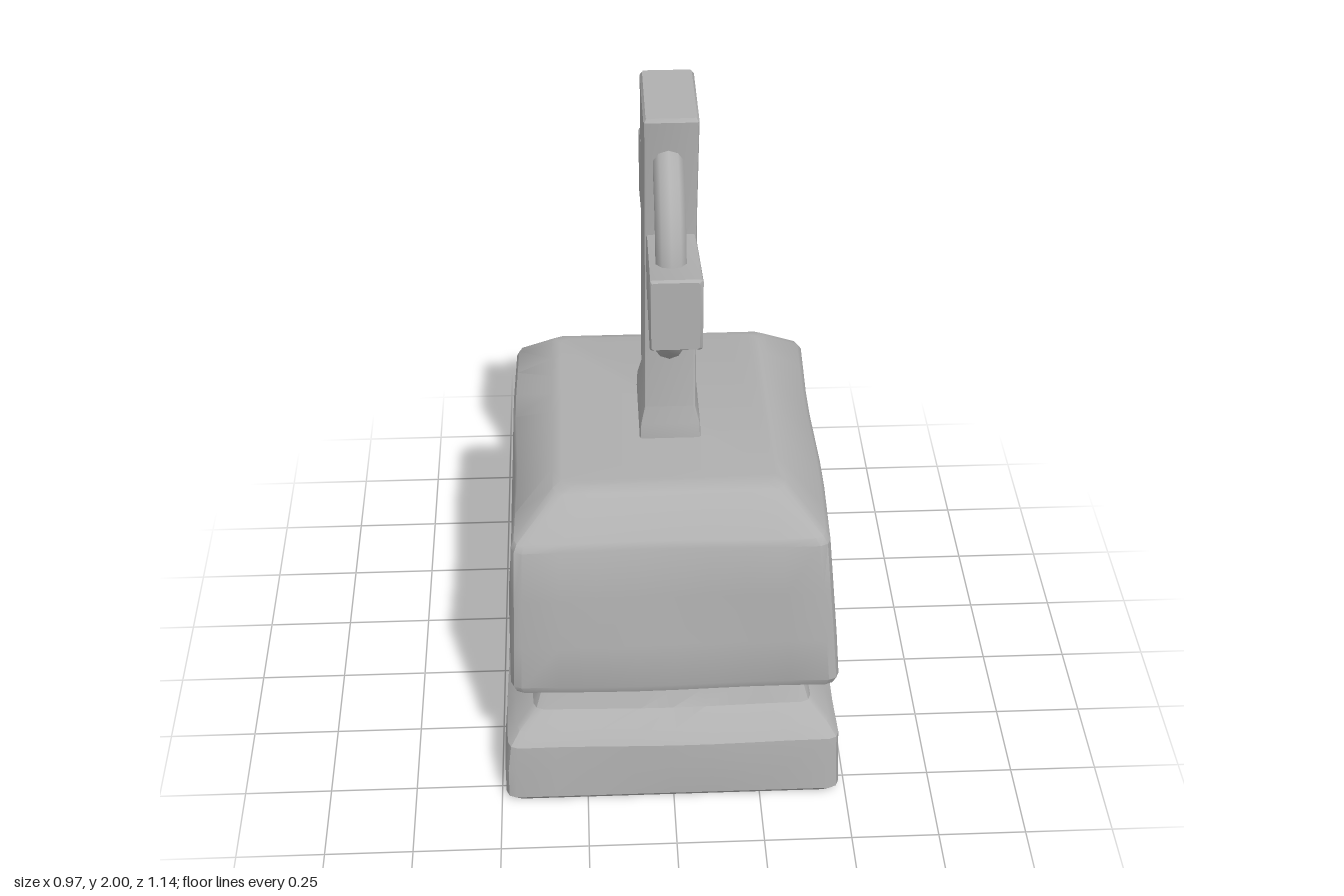
import * as THREE from 'three';
import { toCreasedNormals } from 'three/addons/utils/BufferGeometryUtils.js';

const stone = new THREE.MeshStandardMaterial({ color: 0xb0b0b0 });
stone.name = 'grey stone';

// Outline of a rectangle with clipped round corners, each side split into n steps
function outline([y, x0, x1, z0, z1, r], n) {
  const corners = [
    [x1 - r, z1 - r, 0], [x0 + r, z1 - r, 1], [x0 + r, z0 + r, 2], [x1 - r, z0 + r, 3],
  ];
  const arcs = corners.map(([cx, cz, q]) => [0, 1, 2].map((i) => {
    const a = (q + i / 2) * Math.PI / 2;
    return new THREE.Vector3(cx + r * Math.cos(a), y, cz + r * Math.sin(a));
  }));
  const pts = [];
  arcs.forEach((arc, q) => {
    pts.push(...arc);
    for (let i = 1; i < n; i++) pts.push(arc[2].clone().lerp(arcs[(q + 1) % 4][0], i / n));
  });
  return pts;
}

// Skin a stack of outlines (bottom to top) and cap both ends
function loft(rings, n = 1, warp = null) {
  const rows = rings.map((ring) => outline(ring, n));
  const count = rows[0].length;
  const pos = rows.flat();
  if (warp) pos.forEach(warp);
  const index = [];
  for (let j = 0; j < rows.length - 1; j++) {
    for (let i = 0; i < count; i++) {
      const a = j * count + i, b = j * count + (i + 1) % count;
      index.push(a, a + count, b, b, a + count, b + count);
    }
  }
  const top = (rows.length - 1) * count;
  for (let i = 1; i < count - 1; i++) {
    index.push(0, i, i + 1, top, top + i + 1, top + i);
  }
  const geo = new THREE.BufferGeometry().setFromPoints(pos);
  geo.setIndex(index);
  return toCreasedNormals(geo, 0.5);
}

function part(name, geometry) {
  const mesh = new THREE.Mesh(geometry, stone);
  mesh.name = name;
  return mesh;
}

// Weathering: a soft bulge on the back of the block plus slight waviness
function weather(p) {
  if (p.z < -0.4 && p.y > 0.38) {
    const across = Math.max(0, 1 - Math.abs(p.x + 0.07) / 0.4);
    const up = Math.max(0, 1 - Math.abs(p.y - 0.56) / 0.34);
    p.z -= 0.05 * across * up;
  }
  if (p.y > 0.05 && p.y < 0.95) {
    p.x += 0.004 * Math.sin(p.z * 9 + p.y * 7);
    p.z += 0.004 * Math.sin(p.x * 8 + p.y * 6);
  }
}

export function createModel() {
  const model = new THREE.Group();
  model.name = 'stone monument';

  // Pedestal: foot slab, waisted groove, tapering block and bevelled top
  model.add(part('pedestal', loft([
    [0.0, -0.47, 0.465, -0.555, 0.555, 0.03],
    [0.02, -0.487, 0.482, -0.568, 0.57, 0.03],
    [0.12, -0.484, 0.48, -0.56, 0.569, 0.03],
    [0.205, -0.476, 0.476, -0.55, 0.563, 0.03],
    [0.24, -0.45, 0.45, -0.525, 0.535, 0.03],
    [0.28, -0.4, 0.4, -0.475, 0.485, 0.03],
    [0.33, -0.385, 0.385, -0.455, 0.465, 0.03],
    [0.36, -0.4, 0.4, -0.475, 0.485, 0.03],
    [0.393, -0.455, 0.455, -0.525, 0.535, 0.03],
    [0.42, -0.463, 0.464, -0.53, 0.545, 0.03],
    [0.56, -0.456, 0.454, -0.515, 0.535, 0.03],
    [0.72, -0.447, 0.443, -0.5, 0.523, 0.03],
    [0.88, -0.438, 0.432, -0.485, 0.51, 0.03],
    [0.9, -0.43, 0.42, -0.475, 0.5, 0.03],
    [0.99, -0.325, 0.315, -0.385, 0.395, 0.03],
    [0.997, -0.3, 0.29, -0.36, 0.37, 0.03],
  ], 8, weather)));

  // Cross: upright with flared foot and head
  const cross = new THREE.Group();
  cross.name = 'cross';
  cross.add(part('upright', loft([
    [0.98, -0.08, 0.093, -0.118, 0.158, 0.008],
    [1.045, -0.077, 0.09, -0.115, 0.156, 0.008],
    [1.095, -0.066, 0.078, -0.1, 0.142, 0.008],
    [1.6, -0.064, 0.077, -0.1, 0.14, 0.008],
    [1.72, -0.064, 0.077, -0.103, 0.143, 0.008],
    [1.99, -0.064, 0.08, -0.124, 0.16, 0.008],
    [2.0, -0.058, 0.074, -0.12, 0.154, 0.008],
  ])));

  // Crossbar, lofted along y and laid down along z (outline z becomes -y)
  cross.add(part('crossbar', loft([
    [-0.395, -0.056, 0.07, -1.685, -1.495, 0.008],
    [-0.385, -0.06, 0.078, -1.69, -1.487, 0.008],
    [-0.1, -0.058, 0.074, -1.65, -1.505, 0.008],
    [0.14, -0.058, 0.074, -1.65, -1.5, 0.008],
    [0.425, -0.06, 0.078, -1.685, -1.472, 0.008],
    [0.433, -0.056, 0.07, -1.68, -1.478, 0.008],
  ]).rotateX(Math.PI / 2)));

  // Ring around the crossing
  const ring = new THREE.TorusGeometry(0.303, 0.042, 10, 28);
  ring.rotateY(Math.PI / 2).translate(0, 1.59, 0.025);
  cross.add(part('ring', ring));

  model.add(cross);
  return model;
}
